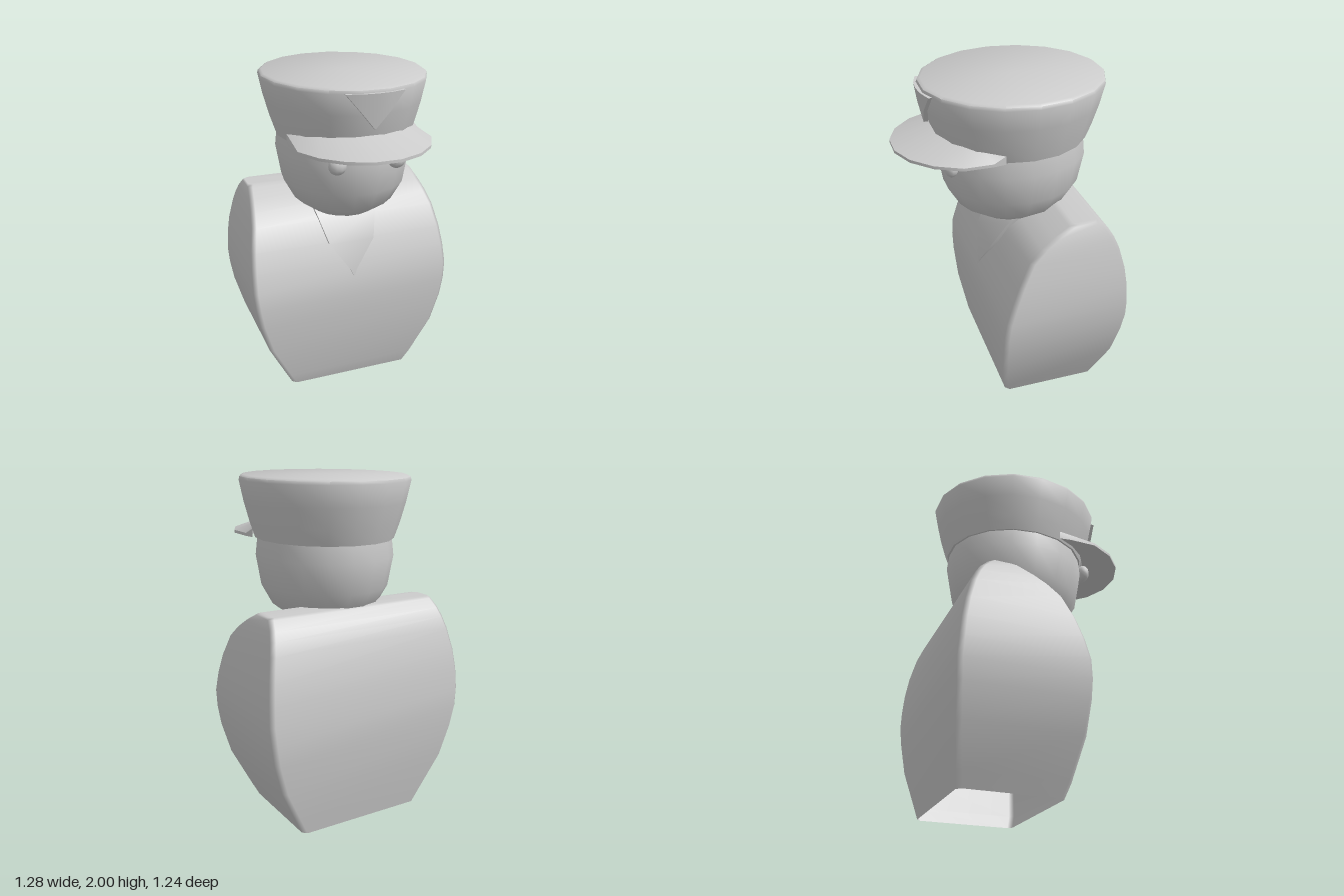
import * as THREE from 'three';
import { toCreasedNormals } from 'three/addons/utils/BufferGeometryUtils.js';

const HEAD_Z = -0.08;
const material = new THREE.MeshStandardMaterial({ color: 0xcccccc, side: THREE.DoubleSide });

// Skin a list of equal-length rings, optionally closing the ends.
function loft(rings, capStart, capEnd) {
  const n = rings[0].length;
  const index = [];
  for (let i = 0; i < rings.length - 1; i++) {
    for (let j = 0; j < n; j++) {
      const k = (j + 1) % n;
      const a = i * n + j, b = i * n + k, c = b + n, d = a + n;
      index.push(a, b, c, a, c, d);
    }
  }
  const last = (rings.length - 1) * n;
  for (let j = 1; j < n - 1; j++) {
    if (capStart) index.push(0, j + 1, j);
    if (capEnd) index.push(last, last + j, last + j + 1);
  }
  const g = new THREE.BufferGeometry();
  g.setAttribute('position', new THREE.Float32BufferAttribute(rings.flat(2), 3));
  g.setIndex(index);
  g.computeVertexNormals();
  return g;
}

// Oval solid of revolution, 18 sided, deeper than it is wide.
function oval(profile) {
  const g = new THREE.LatheGeometry(profile.map(p => new THREE.Vector2(...p)), 18, Math.PI / 18);
  g.scale(1, 1, 1.1);
  g.translate(0, 0, HEAD_Z);
  return toCreasedNormals(g, 0.75);
}

export function createModel() {
  const model = new THREE.Group();
  const add = (name, geometry) => {
    const mesh = new THREE.Mesh(geometry, material);
    mesh.name = name;
    model.add(mesh);
    return mesh;
  };

  // Torso: chamfered rectangles, open underneath. [y, half width, front z, back z]
  const torso = [
    [0, 0.4, 0.07, -0.53], [0.08, 0.44, 0.095, -0.545], [0.31, 0.555, 0.135, -0.59],
    [0.5, 0.61, 0.148, -0.61], [0.62, 0.63, 0.15, -0.62], [0.73, 0.64, 0.14, -0.615],
    [0.85, 0.635, 0.105, -0.605], [0.97, 0.622, 0.06, -0.585], [1.1, 0.597, -0.005, -0.55],
    [1.17, 0.58, -0.08, -0.52], [1.22, 0.566, -0.155, -0.49], [1.27, 0.55, -0.25, -0.44],
    [1.28, 0.54, -0.28, -0.425],
  ];
  const c = 0.025;
  add('torso', loft(torso.map(([y, x, f, b]) => [
    [x - c, y, f], [x, y, f - c], [x, y, b + c], [x - c, y, b],
    [c - x, y, b], [-x, y, b + c], [-x, y, f - c], [c - x, y, f],
  ]), false, true));

  // Shirt front: a raised V-shaped panel. [y, half width, front z]
  const shirt = [[0.75, 0.004, 0.135], [0.79, 0.02, 0.128], [0.97, 0.145, 0.09],
    [1.13, 0.19, 0], [1.2, 0.205, -0.08], [1.26, 0.21, -0.19]];
  add('shirtFront', toCreasedNormals(loft(shirt.map(([y, x, z]) => [
    [x, y, z], [x, y, z - 0.1], [-x, y, z - 0.1], [-x, y, z],
  ]), true, true), 0.7));

  // Head
  add('head', oval([[0, 1.13], [0.06, 1.132], [0.19, 1.157], [0.305, 1.24],
    [0.37, 1.36], [0.4, 1.54], [0.385, 1.67]]));

  // Eyes
  for (const side of [-1, 1]) {
    const eye = add(side > 0 ? 'leftEye' : 'rightEye', new THREE.SphereGeometry(0.055, 10, 8));
    eye.scale.z = 0.75;
    eye.position.set(side * 0.178, 1.557, 0.328);
  }

  // Cap crown with a lip turned in underneath
  add('capCrown', oval([[0.36, 1.645], [0.4, 1.64], [0.43, 1.73], [0.462, 1.85],
    [0.487, 1.972], [0.482, 1.99], [0.466, 2], [0, 2]]));

  // Visor: wedge section swept from one side of the cap to the other
  const visor = [];
  for (let deg = -90; deg <= 90; deg += 20) {
    const t = THREE.MathUtils.degToRad(deg), u = t * 0.78;
    const ix = 0.415 * Math.sin(u), iz = HEAD_Z + 0.457 * Math.cos(u);
    const ox = THREE.MathUtils.clamp(0.425 * Math.sin(t), -0.4, 0.4), oz = 0.147 + 0.48 * Math.cos(t);
    const top = 1.73 - 0.04 * (deg / 90) ** 2;
    visor.push([[ix, 1.64, iz], [ix, top, iz], [ox, 1.657, oz], [ox, 1.64, oz]]);
  }
  add('visor', toCreasedNormals(loft(visor, true, true), 0.7));

  // Badge: thin downward triangle bent around the cap
  const badge = [[-0.17, 0.435], [-0.08, 0.462], [0, 0.468], [0.08, 0.462], [0.17, 0.435]];
  add('badge', toCreasedNormals(loft(badge.map(([x, z]) => {
    const y = 1.77 + 0.205 * Math.abs(x) / 0.17;
    const low = THREE.MathUtils.lerp(0.432, z, Math.abs(x) / 0.17);
    return [[x, y, low - 0.025], [x, 1.975, z - 0.025], [x, 1.975, z], [x, y, low]];
  }), false, false), 0.5));

  return model;
}
